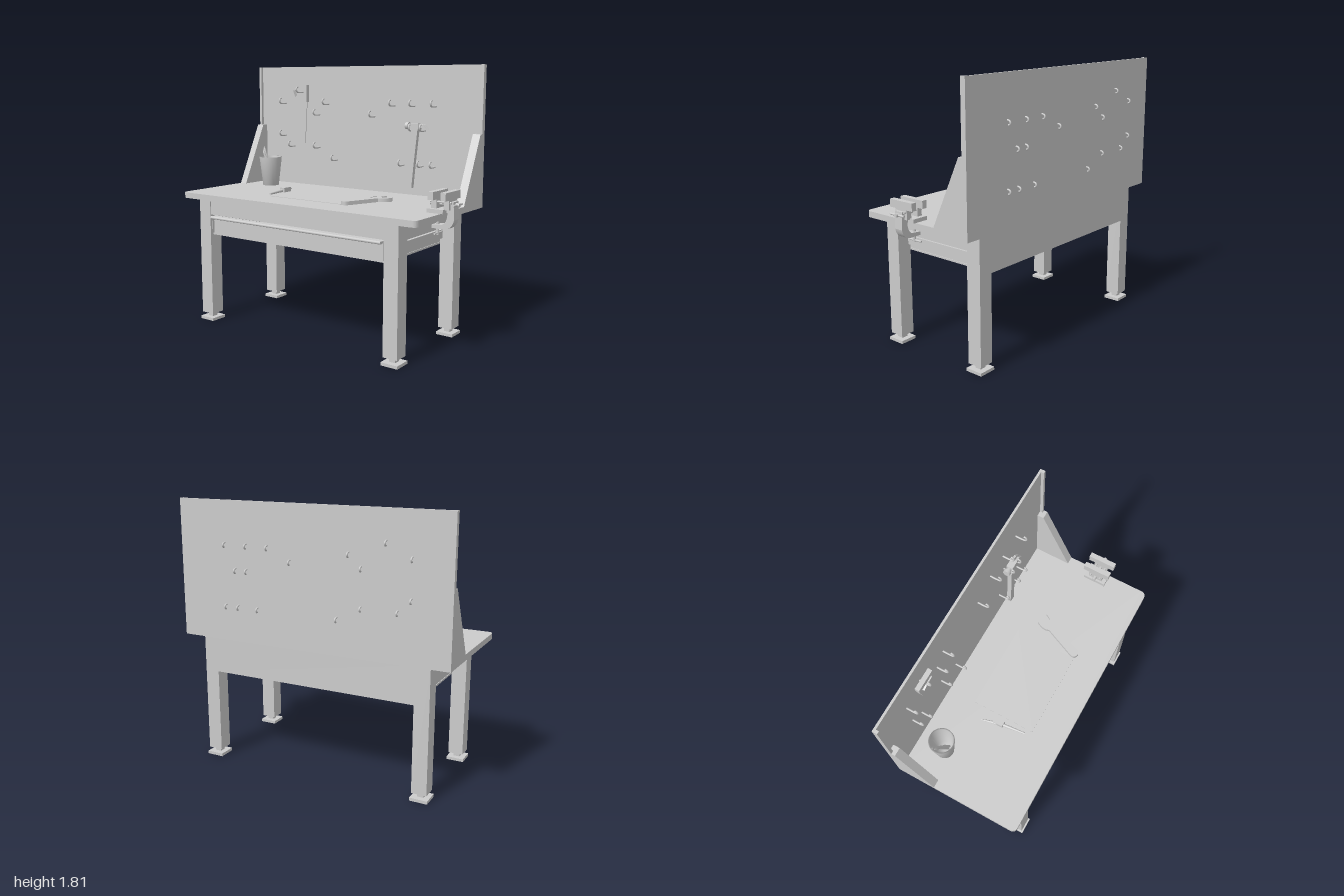
import * as THREE from 'three';

const V = (x, y, z) => new THREE.Vector3(x, y, z);

export function createModel() {
  const root = new THREE.Group();
  const mat = new THREE.MeshStandardMaterial({ color: 0xcccccc, side: THREE.DoubleSide });

  const add = (name, geo, parent = root) => {
    const m = new THREE.Mesh(geo, mat);
    m.name = name;
    parent.add(m);
    return m;
  };
  const group = (name) => {
    const g = new THREE.Group();
    g.name = name;
    root.add(g);
    return g;
  };
  // box given by its minimum and maximum on each axis
  const box = (name, x0, x1, y0, y1, z0, z1, parent) => add(name,
    new THREE.BoxGeometry(x1 - x0, y1 - y0, z1 - z0)
      .translate((x0 + x1) / 2, (y0 + y1) / 2, (z0 + z1) / 2), parent);
  // round bar between two points
  const bar = (name, a, b, r0, r1, parent, sides = 14) => {
    const m = add(name, new THREE.CylinderGeometry(r1, r0, a.distanceTo(b), sides), parent);
    m.position.copy(a).lerp(b, 0.5);
    m.quaternion.setFromUnitVectors(V(0, 1, 0), b.clone().sub(a).normalize());
    return m;
  };
  const poly = (pts) => new THREE.Shape(pts.map(p => new THREE.Vector2(p[0], p[1])));
  const extrude = (shape, depth) =>
    new THREE.ExtrudeGeometry(shape, { depth, bevelEnabled: false, curveSegments: 14 });

  // tabletop with rounded front corners (shape y becomes -z)
  const top = new THREE.Shape();
  top.moveTo(-1, 0.42);
  top.lineTo(-1, -0.41);
  top.quadraticCurveTo(-1, -0.45, -0.96, -0.45);
  top.lineTo(0.875, -0.45);
  top.quadraticCurveTo(0.915, -0.45, 0.915, -0.41);
  top.lineTo(0.915, 0.42);
  add('tabletop', extrude(top, 0.04).rotateX(-Math.PI / 2).translate(0, 0.88, 0));

  // back panel with folded side edges and sloping side brackets
  const board = group('backBoard');
  box('panel', -1, 0.915, 0.88, 1.81, -0.42, -0.405, board);
  const bracket = poly([[0.15, 0.92], [0.36, 1.365], [0.405, 1.365], [0.405, 0.92]]);
  for (const [x, s] of [[-1, 1], [0.915, -1]]) {
    const e = x + s * 0.02, b = x + s * 0.055;
    box('sideEdge', Math.min(x, e), Math.max(x, e), 0.92, 1.81, -0.42, -0.385, board);
    add('sideBracket', extrude(bracket, 0.055).rotateY(Math.PI / 2)
      .translate(Math.min(x, b), 0, 0), board);
  }

  // legs with levelling feet
  for (const x of [-0.815, 0.73]) for (const z of [0.365, -0.338]) {
    const leg = group('leg');
    box('post', x - 0.051, x + 0.051, 0.05, 0.88, z - 0.051, z + 0.051, leg);
    box('footStem', x - 0.022, x + 0.022, 0.015, 0.05, z - 0.022, z + 0.022, leg);
    box('footPlate', x - 0.06, x + 0.06, 0, 0.02, z - 0.06, z + 0.06, leg);
  }

  // aprons under the top
  const frame = group('frame');
  box('frontApron', -0.77, 0.69, 0.775, 0.88, 0.39, 0.41, frame);
  box('backApron', -0.77, 0.69, 0.63, 0.88, -0.389, -0.365, frame);
  for (const x of [-0.866, 0.761])
    box('sideApron', x, x + 0.02, 0.775, 0.88, -0.29, 0.32, frame);

  // wide drawer with slides and a full-width pull
  const drawer = group('drawer');
  box('drawerBottom', -0.765, 0.68, 0.63, 0.642, -0.37, 0.39, drawer);
  box('drawerFront', -0.748, 0.663, 0.642, 0.75, 0.375, 0.395, drawer);
  box('drawerPull', -0.748, 0.663, 0.75, 0.765, 0.375, 0.425, drawer);
  bar('pullEdge', V(-0.748, 0.757, 0.422), V(0.663, 0.757, 0.422), 0.01, 0.01, drawer);
  for (const s of [-1, 1]) {
    const x = -0.0425 + s * 0.71;
    box('drawerSide', x - 0.008, x + 0.008, 0.642, 0.775, -0.365, 0.38, drawer);
    box('slide', x + s * 0.017 - 0.012, x + s * 0.017 + 0.012, 0.67, 0.73, -0.365, 0.4, drawer);
  }

  // S-shaped wire hooks through the panel
  const wire = new THREE.CatmullRomCurve3([
    V(0, 0.02, -0.345), V(0, 0.018, -0.332), V(0, 0, -0.325), V(0, -0.016, -0.336),
    V(0, -0.02, -0.36), V(0, -0.02, -0.425), V(0, -0.024, -0.438), V(0, -0.036, -0.443),
    V(0, -0.047, -0.436), V(0, -0.048, -0.428)]);
  const hookGeo = new THREE.TubeGeometry(wire, 28, 0.006, 8);
  const hooks = group('hooks');
  for (const [x, y] of [[-0.745, 1.555], [-0.745, 1.31], [-0.66, 1.23], [-0.58, 1.64],
    [-0.42, 1.475], [-0.42, 1.23], [-0.335, 1.555], [-0.255, 1.145], [0.075, 1.475],
    [0.24, 1.555], [0.4, 1.555], [0.565, 1.555], [0.4, 1.39], [0.485, 1.39],
    [0.32, 1.145], [0.47, 1.145], [0.565, 1.145]])
    add('hook', hookGeo, hooks).position.set(x, y, 0);

  // hand saw
  const saw = group('saw');
  const grip = poly([[-0.652, 1.675], [-0.652, 1.635], [-0.637, 1.55], [-0.507, 1.55], [-0.507, 1.675]]);
  grip.holes.push(poly([[-0.635, 1.635], [-0.525, 1.64], [-0.525, 1.61], [-0.585, 1.605], [-0.615, 1.585]]));
  add('sawHandle', extrude(grip, 0.03).translate(0, 0, -0.385), saw);
  add('sawBlade', extrude(poly([[-0.637, 1.56], [-0.555, 1.25], [-0.53, 1.235], [-0.51, 1.56]]), 0.006)
    .translate(0, 0, -0.373), saw);

  // claw hammer
  const hammer = group('hammer');
  const handle = extrude(poly([[0.37, 0.985], [0.415, 0.975], [0.428, 1.12], [0.455, 1.375],
    [0.45, 1.42], [0.412, 1.42], [0.405, 1.37], [0.385, 1.12]]), 0.03);
  add('hammerHandle', handle.translate(0, 0, -0.378), hammer);
  box('hammerHead', 0.4, 0.465, 1.38, 1.42, -0.385, -0.34, hammer);
  bar('hammerNeck', V(0.41, 1.4, -0.363), V(0.365, 1.403, -0.363), 0.016, 0.016, hammer);
  bar('hammerFace', V(0.382, 1.402, -0.363), V(0.36, 1.403, -0.363), 0.025, 0.025, hammer);
  for (const s of [-1, 1])
    add('claw', extrude(poly([[0.455, 1.42], [0.5, 1.412], [0.53, 1.38], [0.495, 1.392], [0.455, 1.385]]), 0.015)
      .translate(0, 0, -0.37 + s * 0.012), hammer);

  // cup with pencils
  const cup = group('pencilCup');
  const wall = [[0, 0], [0.06, 0], [0.085, 0.215], [0.076, 0.215], [0.053, 0.012], [0, 0.012]];
  add('cup', new THREE.LatheGeometry(wall.map(p => new THREE.Vector2(...p)), 32), cup)
    .position.set(-0.748, 0.92, -0.217);
  for (const [a, b] of [[V(-0.72, 0.935, -0.2), V(-0.823, 1.185, -0.235)],
    [V(-0.73, 0.935, -0.225), V(-0.812, 1.16, -0.215)],
    [V(-0.735, 0.935, -0.2), V(-0.8, 1.13, -0.225)]]) {
    bar('pencil', a, b, 0.009, 0.009, cup, 6);
    bar('pencilTip', b, b.clone().add(b.clone().sub(a).setLength(0.032)), 0.009, 0.001, cup, 6);
  }

  // paper sheet lying on the table
  box('sheet', -0.37, 0.23, 0.919, 0.923, -0.21, 0.23);

  // open-ended wrench lying flat, handle end towards the front
  const w = new THREE.Shape();
  w.moveTo(-0.028, 0);
  w.quadraticCurveTo(-0.028, -0.036, 0, -0.036);
  w.quadraticCurveTo(0.034, -0.036, 0.032, 0);
  w.lineTo(0.024, 0.23);
  w.quadraticCurveTo(0.065, 0.26, 0.058, 0.315);
  w.lineTo(0.035, 0.335);
  w.quadraticCurveTo(0.035, 0.275, 0, 0.275);
  w.quadraticCurveTo(-0.032, 0.28, -0.025, 0.335);
  w.lineTo(-0.048, 0.325);
  w.quadraticCurveTo(-0.06, 0.26, -0.026, 0.23);
  const wrench = add('wrench', extrude(w, 0.025).rotateX(-Math.PI / 2));
  wrench.position.set(0.26, 0.92, 0.205);
  wrench.rotation.y = -0.4;

  // small hand tool with a tapered shaft
  const tool = group('handTool');
  bar('toolShaft', V(-0.425, 0.933, 0.0), V(-0.403, 0.928, 0.19), 0.012, 0.007, tool);
  box('toolBlock', -0.44, -0.4, 0.92, 0.952, -0.035, 0.04, tool);
  bar('toolTip', V(-0.43, 0.933, 0), V(-0.458, 0.928, -0.11), 0.012, 0.004, tool);

  // clamp-on vise on the table's left edge
  const vise = group('vise');
  box('viseBase', 0.82, 0.93, 0.92, 0.945, 0, 0.16, vise);
  box('fixedJaw', 0.835, 0.87, 1.0, 1.05, -0.015, 0.175, vise);
  box('fixedJawNeck', 0.835, 0.87, 0.94, 1.0, 0.03, 0.13, vise);
  box('movingJaw', 0.92, 0.955, 1.0, 1.05, -0.015, 0.175, vise);
  box('movingJawNeck', 0.92, 0.955, 0.94, 1.0, 0.03, 0.13, vise);
  bar('viseScrew', V(0.805, 0.97, 0.08), V(1, 0.97, 0.08), 0.012, 0.012, vise);
  for (const z of [0.045, 0.115])
    bar('guideRod', V(0.82, 0.985, z), V(0.965, 0.985, z), 0.007, 0.007, vise);
  bar('viseCrank', V(0.985, 0.97, 0.02), V(0.985, 0.97, 0.14), 0.007, 0.007, vise);
  const arm = new THREE.Shape();
  arm.moveTo(0.92, 0.99);
  arm.lineTo(0.975, 0.99);
  arm.lineTo(0.98, 0.88);
  arm.quadraticCurveTo(0.965, 0.82, 0.915, 0.818);
  arm.lineTo(0.83, 0.818);
  arm.lineTo(0.83, 0.84);
  arm.lineTo(0.9, 0.845);
  arm.quadraticCurveTo(0.935, 0.86, 0.935, 0.92);
  arm.lineTo(0.92, 0.92);
  add('clampArm', extrude(arm, 0.06).translate(0, 0, 0.05), vise);
  bar('clampScrew', V(0.855, 0.775, 0.08), V(0.855, 0.875, 0.08), 0.01, 0.01, vise);
  bar('clampPad', V(0.855, 0.865, 0.08), V(0.855, 0.88, 0.08), 0.024, 0.024, vise);
  bar('clampHandle', V(0.855, 0.785, 0.02), V(0.855, 0.785, 0.12), 0.006, 0.006, vise);

  return root;
}
